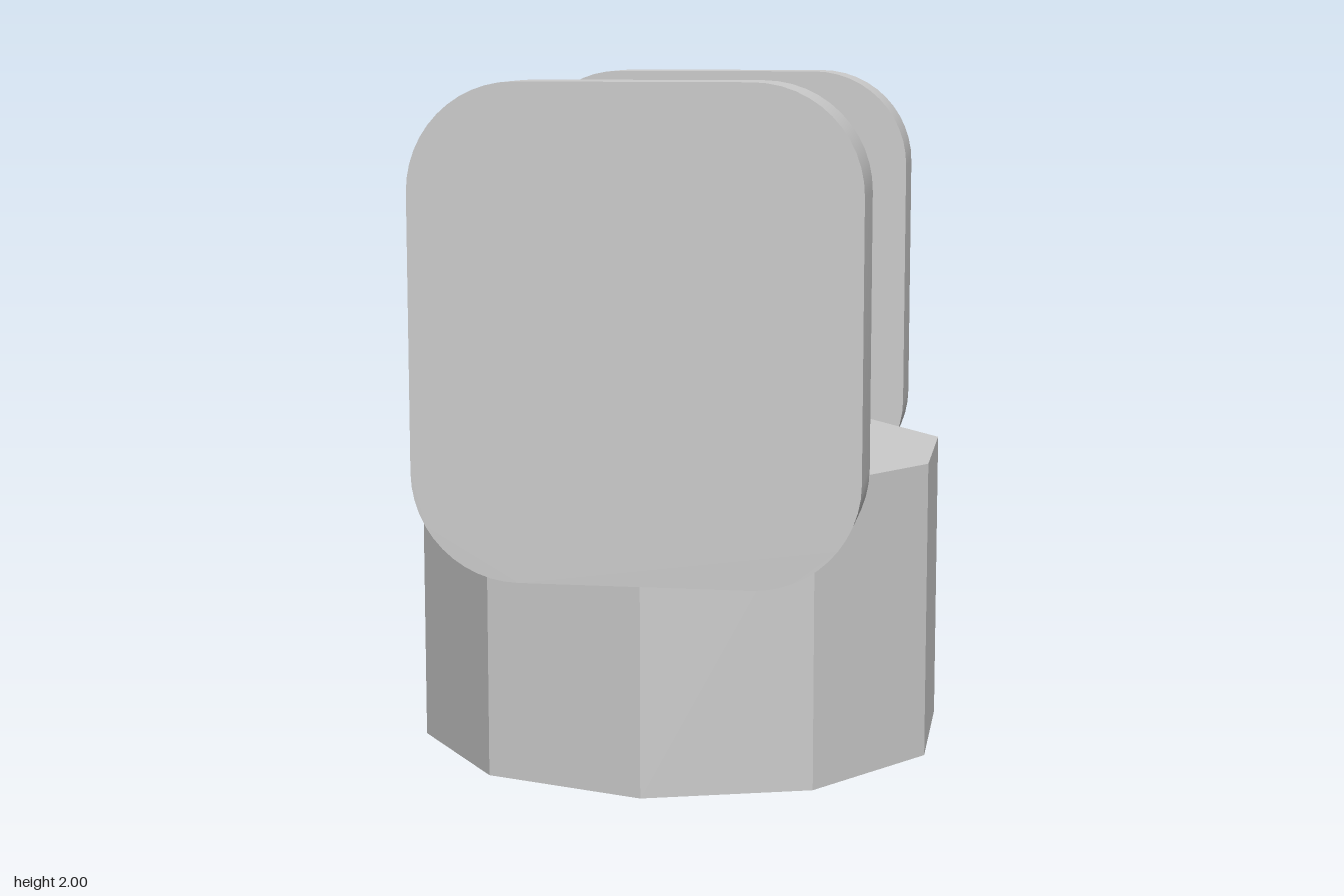
import * as THREE from 'three';
import { toCreasedNormals } from 'three/addons/utils/BufferGeometryUtils.js';

// Upright rounded rectangle centred on the origin
function roundedRect(w, h, r) {
  const x = w / 2 - r, y = h / 2 - r, q = Math.PI / 2;
  const s = new THREE.Shape();
  s.absarc(x, y, r, 0, q);
  s.absarc(-x, y, r, q, 2 * q);
  s.absarc(-x, -y, r, 2 * q, 3 * q);
  s.absarc(x, -y, r, 3 * q, 4 * q);
  s.closePath();
  return s;
}

export function createModel() {
  const group = new THREE.Group();
  const grey = new THREE.MeshStandardMaterial({ color: 0xcccccc });
  grey.name = 'light grey';

  // Ten-sided base with crisp facets
  const baseHeight = 0.88;
  const baseGeo = toCreasedNormals(new THREE.CylinderGeometry(0.8, 0.8, baseHeight, 10), 0.4);
  const base = new THREE.Mesh(baseGeo, grey);
  base.name = 'base';
  base.position.y = baseHeight / 2;
  group.add(base);

  // Two matching rounded panels, front and back
  const depth = 0.25, bottom = 0.63, top = 2;
  const panelGeo = toCreasedNormals(
    new THREE.ExtrudeGeometry(roundedRect(1.245, top - bottom, 0.3), {
      depth, bevelEnabled: false, curveSegments: 6,
    }), 0.6);
  panelGeo.translate(0, 0, -depth / 2);
  for (const [name, side] of [['frontPanel', 1], ['backPanel', -1]]) {
    const panel = new THREE.Mesh(panelGeo, grey);
    panel.name = name;
    panel.position.set(0, (top + bottom) / 2, side * 0.775);
    group.add(panel);
  }
  return group;
}
